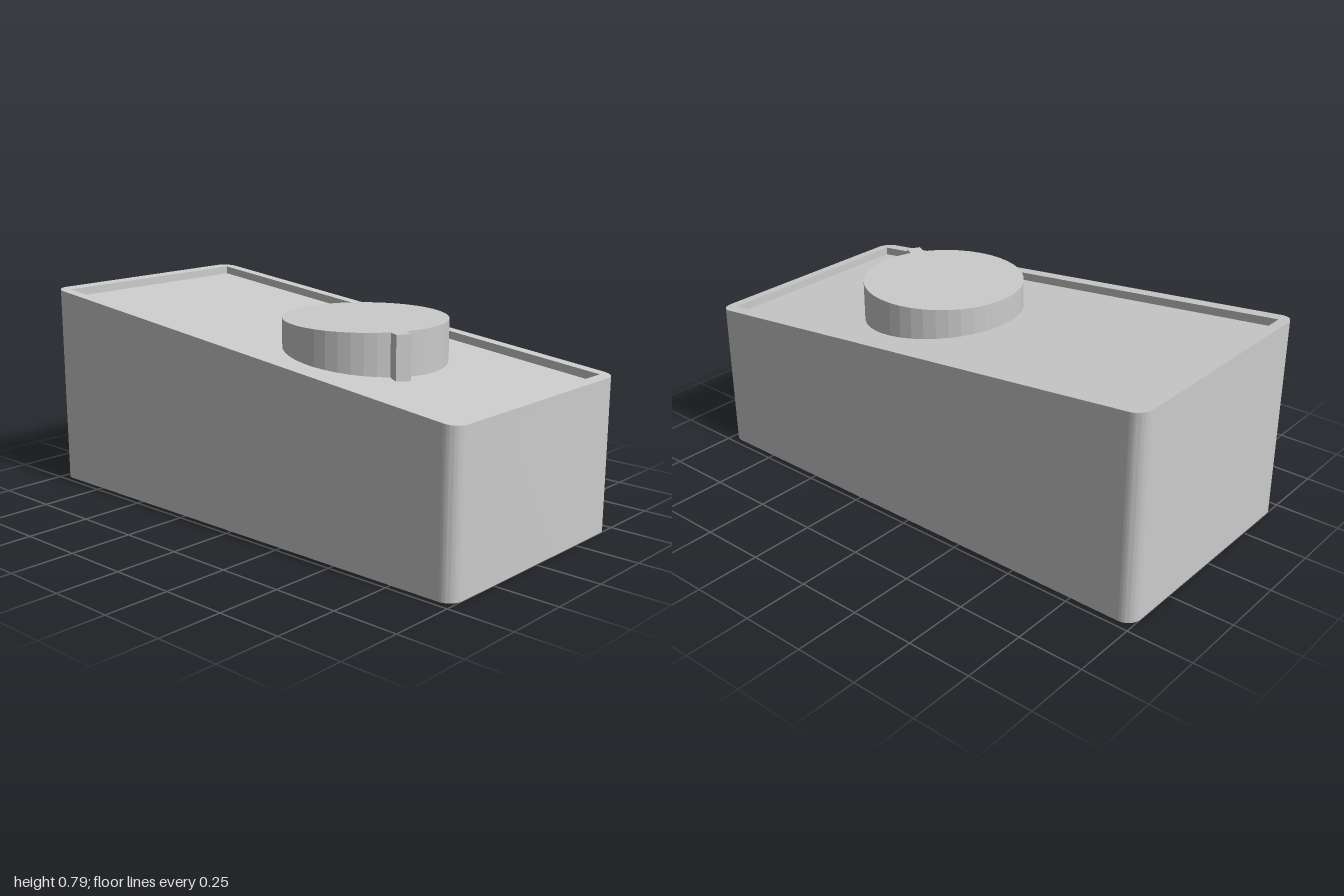
import * as THREE from 'three';
import { toCreasedNormals } from 'three/addons/utils/BufferGeometryUtils.js';

const HALF_W = 0.475, HALF_L = 1, CORNER = 0.055, RECESS = 0.031;
const rimY = (z) => 0.58 + 0.1025 * (1 - z);
const floorY = (z) => rimY(z) - RECESS;

// Rounded rectangle in plan
function roundedRect(w, l, r) {
  const s = new THREE.Shape();
  s.absarc(w - r, l - r, r, 0, Math.PI / 2);
  s.absarc(-w + r, l - r, r, Math.PI / 2, Math.PI);
  s.absarc(-w + r, -l + r, r, Math.PI, Math.PI * 1.5);
  s.absarc(w - r, -l + r, r, Math.PI * 1.5, Math.PI * 2);
  s.closePath();
  return s;
}

// Upright prism of a plan shape, its ends moved onto the bottom(z) and top(z) surfaces
function prism(name, shape, bottom, top, material, crease = 0.5) {
  const g = new THREE.ExtrudeGeometry(shape, { depth: 1, bevelEnabled: false, curveSegments: 8 });
  g.rotateX(-Math.PI / 2);
  const p = g.attributes.position;
  for (let i = 0; i < p.count; i++) {
    const z = p.getZ(i);
    p.setY(i, p.getY(i) > 0.5 ? top(z) : bottom(z));
  }
  const mesh = new THREE.Mesh(toCreasedNormals(g, crease), material);
  mesh.name = name;
  return mesh;
}

export function createModel() {
  const group = new THREE.Group();
  group.name = 'wedgeBoxWithKnob';
  const grey = new THREE.MeshStandardMaterial({ color: 0xcccccc });

  // Wedge-shaped body up to the recessed panel
  group.add(prism('body', roundedRect(HALF_W, HALF_L, CORNER), () => 0, floorY, grey));

  // Raised lip around the panel
  const lip = roundedRect(HALF_W, HALF_L, CORNER);
  lip.holes.push(new THREE.Path([
    new THREE.Vector2(-0.43, -0.957), new THREE.Vector2(-0.43, 0.957),
    new THREE.Vector2(0.43, 0.957), new THREE.Vector2(0.43, -0.957),
  ]));
  group.add(prism('rim', lip, floorY, rimY, grey));

  // Knob with a pointer tab, level on top and meeting the sloped panel below
  const cz = 0.23, R = 0.305, tabR = 0.352, tabHalf = 0.028, sides = 40;
  const a0 = -Math.PI / 2 - 0.485; // pointer direction in plan
  const gap = Math.asin(tabHalf / R);
  const pts = [];
  const at = (along, across) => pts.push(new THREE.Vector2(
    along * Math.cos(a0) - across * Math.sin(a0),
    along * Math.sin(a0) + across * Math.cos(a0) - cz));
  for (let i = 0; i <= sides; i++) {
    const a = gap + (2 * Math.PI - 2 * gap) * i / sides;
    at(R * Math.cos(a), R * Math.sin(a));
  }
  at(tabR, -tabHalf);
  at(tabR, tabHalf);
  group.add(prism('knob', new THREE.Shape(pts), floorY, () => 0.76, grey, 0.05));

  return group;
}
